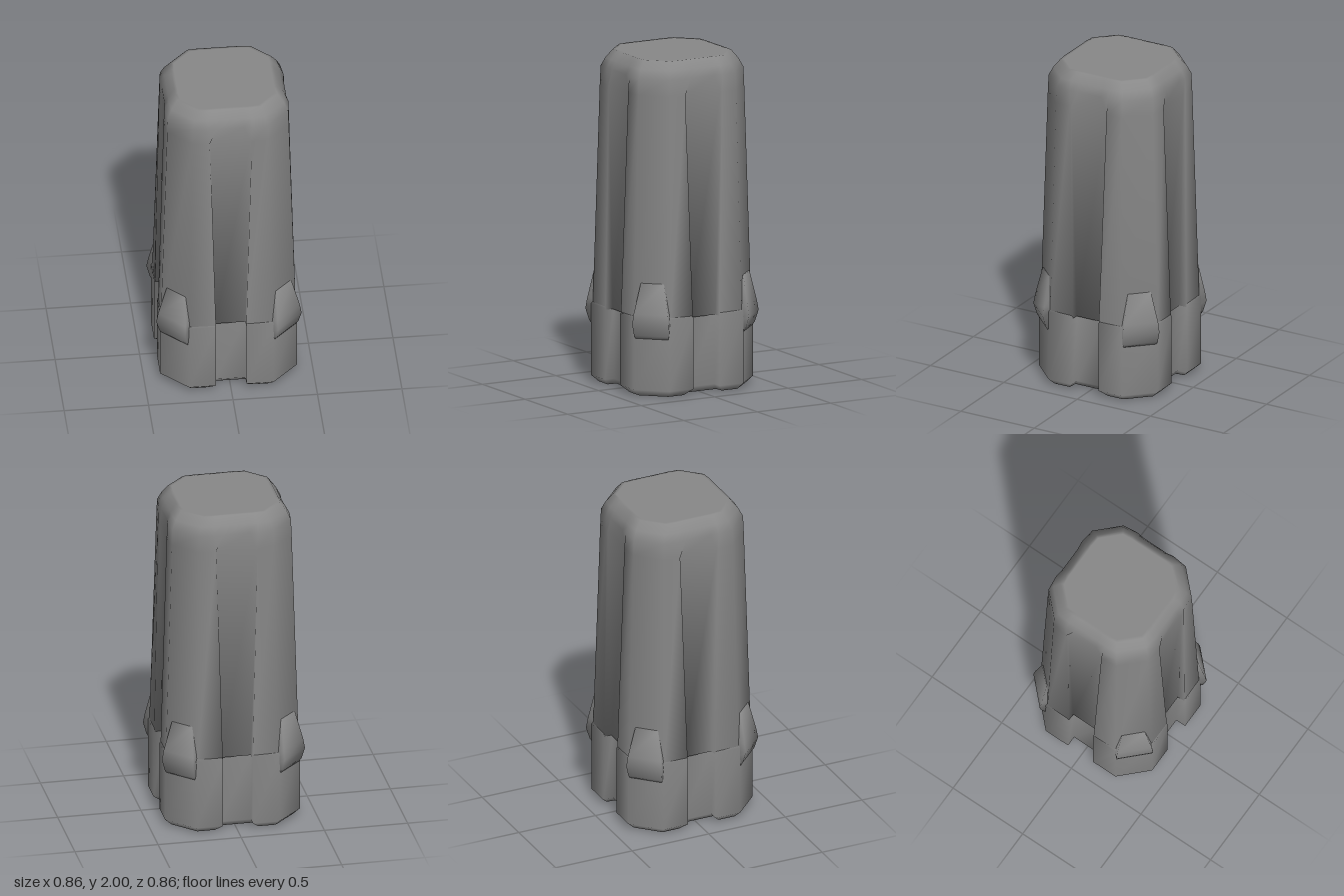
import * as THREE from 'three';

const material = new THREE.MeshStandardMaterial({ color: 0x888888 });

// Skin a stack of equal-length rings { y, points: [[x, z], ...] }, smooth, with caps at both ends
function loft(rings) {
  const n = rings[0].points.length;
  const positions = rings.flatMap(({ y, points }) => points.flatMap(([x, z]) => [x, y, z]));
  const index = [];
  for (let r = 0; r < rings.length - 1; r++) {
    for (let i = 0; i < n; i++) {
      const a = r * n + i;
      const b = r * n + ((i + 1) % n);
      index.push(a, b, b + n, a, b + n, a + n);
    }
  }
  const cap = (r, up) => {
    const outline = rings[r].points.map(([x, z]) => new THREE.Vector2(x, -z));
    for (const [a, b, c] of THREE.ShapeUtils.triangulateShape(outline, [])) {
      if (up) index.push(r * n + a, r * n + b, r * n + c);
      else index.push(r * n + a, r * n + c, r * n + b);
    }
  };
  cap(0, false);
  cap(rings.length - 1, true);
  const geometry = new THREE.BufferGeometry();
  geometry.setAttribute('position', new THREE.Float32BufferAttribute(positions, 3));
  geometry.setIndex(index);
  geometry.computeVertexNormals();
  return geometry;
}

// Chamfered square with a channel in each side, from the floor, lip and corner of half a side
function section(y, floor, lip, corner) {
  const half = [floor, lip, corner];
  let side = [...half.map(([x, z]) => [-x, z]).reverse(), ...half];
  const points = [];
  for (let k = 0; k < 4; k++) {
    points.push(...side);
    side = side.map(([x, z]) => [z, -x]);
  }
  return { y, points };
}

function add(parent, name, geometry) {
  const mesh = new THREE.Mesh(geometry, material);
  mesh.name = name;
  parent.add(mesh);
  return mesh;
}

export function createModel() {
  const group = new THREE.Group();
  group.name = 'groovedCapsule';

  // Tapered shell: channels fade out towards the bevelled top
  add(group, 'shell', loft([
    section(0.46, [0.088, 0.354], [0.09, 0.4], [0.242, 0.399]),
    section(1.8, [0.12, 0.36], [0.125, 0.371], [0.226, 0.36]),
    section(1.9, [0.08, 0.36], [0.13, 0.367], [0.224, 0.356]),
    section(1.95, [0.08, 0.338], [0.13, 0.342], [0.208, 0.333]),
    section(2, [0.075, 0.302], [0.12, 0.303], [0.185, 0.297]),
    section(2, [0.07, 0.285], [0.11, 0.286], [0.175, 0.28]),
  ]));

  // Four-lobed base with a bevelled foot and a small shoulder
  add(group, 'base', loft([
    section(0, [0.125, 0.285], [0.13, 0.335], [0.222, 0.335]),
    section(0, [0.125, 0.305], [0.13, 0.362], [0.235, 0.362]),
    section(0.04, [0.09, 0.342], [0.09, 0.405], [0.25, 0.405]),
    section(0.47, [0.09, 0.342], [0.09, 0.405], [0.25, 0.405]),
    section(0.5, [0.11, 0.325], [0.115, 0.385], [0.24, 0.385]),
  ]));

  // Wedge-shaped catch on each corner: height, half width, reach
  const catchGeometry = loft([
    [0.35, 0.1, 0.464],
    [0.37, 0.105, 0.477],
    [0.44, 0.11, 0.4985],
    [0.5, 0.104, 0.489],
    [0.68, 0.07, 0.453],
  ].map(([y, w, d]) => ({ y, points: [[-w, 0.37], [-w, d], [w, d], [w, 0.37]] })));
  for (let k = 0; k < 4; k++) {
    add(group, 'cornerCatch', catchGeometry).rotation.y = Math.PI / 4 + (k * Math.PI) / 2;
  }
  return group;
}
